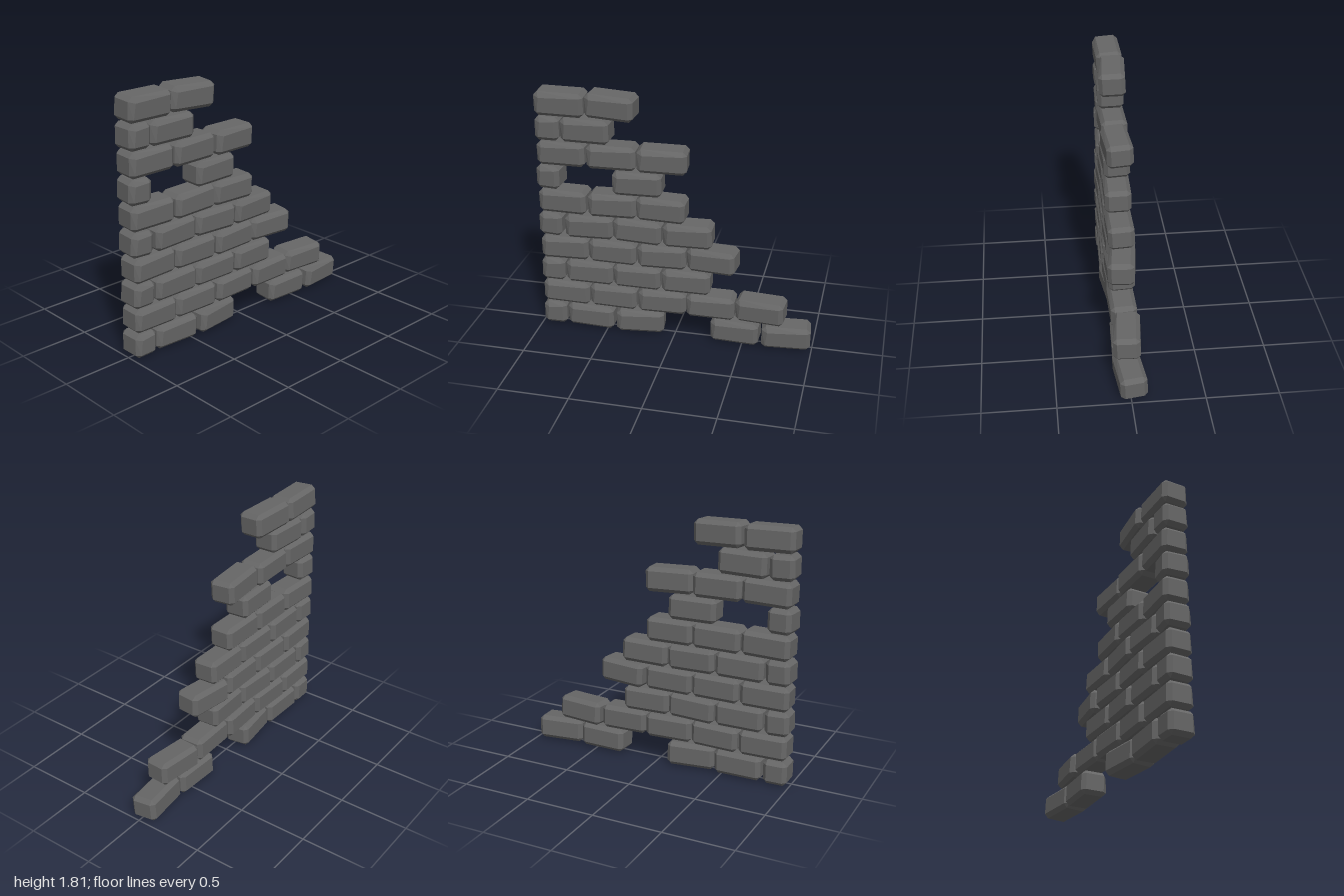
import * as THREE from 'three';
import { ConvexGeometry } from 'three/addons/geometries/ConvexGeometry.js';

const PITCH = 0.1802, HEIGHT = 0.172, DEPTH = 0.186, BEVEL = 0.028;

// Bevelled brick: every corner contributes one point to each of its three faces
function brickGeometry(length) {
  const half = [length / 2, HEIGHT / 2, DEPTH / 2];
  const points = [];
  for (const sx of [-1, 1]) for (const sy of [-1, 1]) for (const sz of [-1, 1]) {
    const signs = [sx, sy, sz];
    for (let face = 0; face < 3; face++) {
      const p = new THREE.Vector3(...signs.map((s, i) => s * (half[i] - (i === face ? 0 : BEVEL))));
      // worn upper left corner of the front face
      if (face === 2 && sx < 0 && sy > 0 && sz > 0) p.add(new THREE.Vector3(0.013, -0.01, 0));
      points.push(p);
    }
  }
  return new ConvexGeometry(points);
}

// Courses from the ground up; each brick is [centre x, turn, roll, pitch, half brick?]
const COURSES = [
  [[-0.9, 0.02, 0, 0.02, 1], [-0.625, -0.03, -0.015, 0.03], [-0.26, 0.12, -0.01, 0.04], [0.445, -0.04, -0.005, 0.04], [0.81, 0.1, -0.02, 0.06]],
  [[-0.805, 0, -0.015, 0.03], [-0.448, -0.03, 0.005, 0.02], [-0.09, 0.04, -0.01, 0.02], [0.265, 0.02, -0.01, 0.03], [0.625, -0.1, 0.015, 0.05]],
  [[-0.9, 0.04, -0.03, 0.04, 1], [-0.625, 0, 0, 0.03], [-0.27, -0.04, 0.02, 0.04], [0.085, 0.03, -0.01, 0.03]],
  [[-0.805, 0.03, 0.01, 0.02], [-0.448, -0.02, 0, 0.04], [-0.09, 0.02, 0.015, 0.03], [0.272, -0.12, 0.02, 0.03]],
  [[-0.9, -0.05, -0.03, 0.03, 1], [-0.62, 0.03, 0.015, 0.04], [-0.263, -0.03, -0.025, 0.02], [0.095, 0.01, 0.015, 0.05]],
  [[-0.805, -0.04, 0.01, 0.03], [-0.445, 0.02, 0.015, 0.02], [-0.095, -0.02, -0.015, 0.03]],
  [[-0.9, -0.09, -0.01, 0.03, 1], [-0.265, 0.03, 0, 0.04]],
  [[-0.803, -0.03, 0.015, 0.03], [-0.446, 0.03, 0, 0.02], [-0.09, 0.07, -0.025, 0.04]],
  [[-0.898, 0.03, -0.02, 0.02, 1], [-0.626, -0.04, 0.01, 0.04]],
  [[-0.807, 0.02, -0.015, 0.06], [-0.448, -0.075, -0.03, 0.05]],
];

export function createModel() {
  const wall = new THREE.Group();
  wall.name = 'ruinedBrickWall';
  const stone = new THREE.MeshStandardMaterial({ color: 0x666666, flatShading: true });
  stone.name = 'grey stone';
  const full = brickGeometry(0.348);
  const short = brickGeometry(0.172);

  COURSES.forEach((bricks, row) => {
    const course = new THREE.Group();
    course.name = `course${row + 1}`;
    course.position.y = 0.09 + row * PITCH;
    bricks.forEach(([x, turn, roll, pitch, isHalf], i) => {
      const brick = new THREE.Mesh(isHalf ? short : full, stone);
      brick.name = `${isHalf ? 'halfBrick' : 'brick'}${i + 1}`;
      brick.position.set(x, 0, -0.004);
      brick.rotation.set(pitch, turn, roll);
      course.add(brick);
    });
    wall.add(course);
  });
  return wall;
}
